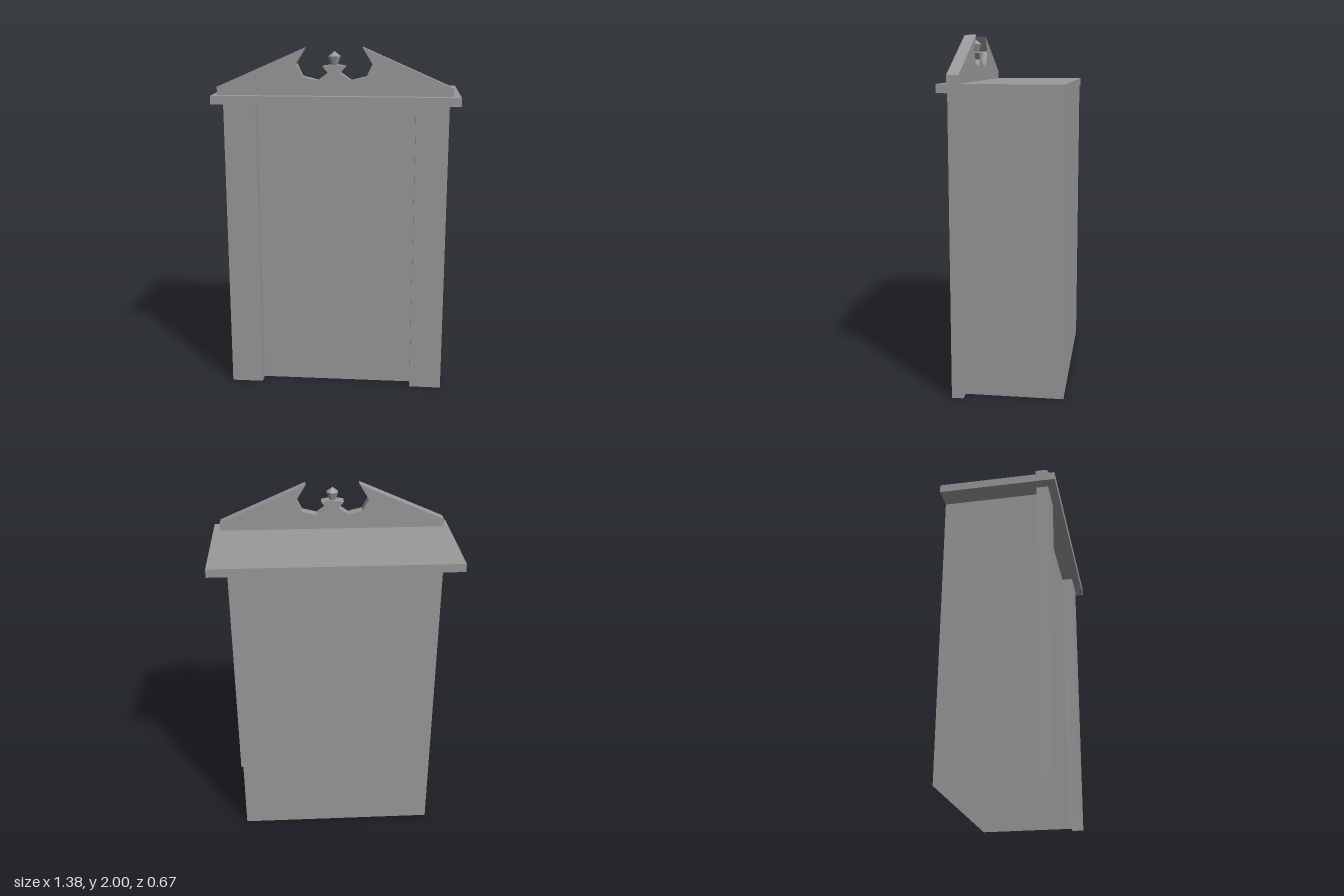
import * as THREE from 'three';

const stone = new THREE.MeshStandardMaterial({ color: 0x999999, side: THREE.DoubleSide });
stone.name = 'grey';

function add(group, name, geometry, x = 0, y = 0, z = 0) {
  const mesh = new THREE.Mesh(geometry, stone);
  mesh.name = name;
  mesh.position.set(x, y, z);
  group.add(mesh);
  return mesh;
}

// Four upright walls with no top or bottom (box index runs +x, -x, +y, -y, +z, -z)
function hollowBox(w, h, d) {
  const g = new THREE.BoxGeometry(w, h, d);
  const index = Array.from(g.index.array);
  index.splice(12, 12);
  g.setIndex(index);
  g.clearGroups();
  return g;
}

export function createModel() {
  const group = new THREE.Group();
  group.name = 'pedimentedCabinet';

  const wallH = 1.69, back = -0.333, front = 0.22, face = 0.286;
  const middle = -0.006; // centre line of the pediment

  // Hollow body, open underneath
  add(group, 'body', hollowBox(1.13, wallH, front - back), 0, wallH / 2, (front + back) / 2);

  // Pilasters at the front corners
  for (const side of [-1, 1]) {
    add(group, side < 0 ? 'rightPilaster' : 'leftPilaster',
      hollowBox(0.183, wallH, face - front), side * 0.537, wallH / 2, (front + face) / 2);
  }

  // Cornice slab
  add(group, 'cornice', new THREE.BoxGeometry(1.38, 0.047, 0.666), 0, wallH + 0.0235, 0);

  // Broken pediment with a leaf at its centre: half outline, mirrored
  const half = [
    [0.655, 1.737], [0.655, 1.782], [0.155, 2], [0.21, 1.91], [0.176, 1.841],
    [0.093, 1.82], [0.034, 1.862], [0.065, 1.897], [0.018, 1.905],
  ];
  const outline = [...half, ...half.map(([x, y]) => [-x, y]).reverse()];
  const shape = new THREE.Shape(outline.map(([x, y]) => new THREE.Vector2(x, y)));
  const pediment = new THREE.ExtrudeGeometry(shape, { depth: face - front, bevelEnabled: false });
  add(group, 'pediment', pediment, middle, 0, front);

  // Eight-sided bud finial
  const profile = [[0, 1.9], [0.018, 1.903], [0.036, 1.95], [0, 1.978]]
    .map(([r, y]) => new THREE.Vector2(r, y));
  const bud = new THREE.LatheGeometry(profile, 8, Math.PI / 8).toNonIndexed();
  bud.computeVertexNormals();
  add(group, 'finial', bud, middle, 0, (front + face) / 2);

  return group;
}
